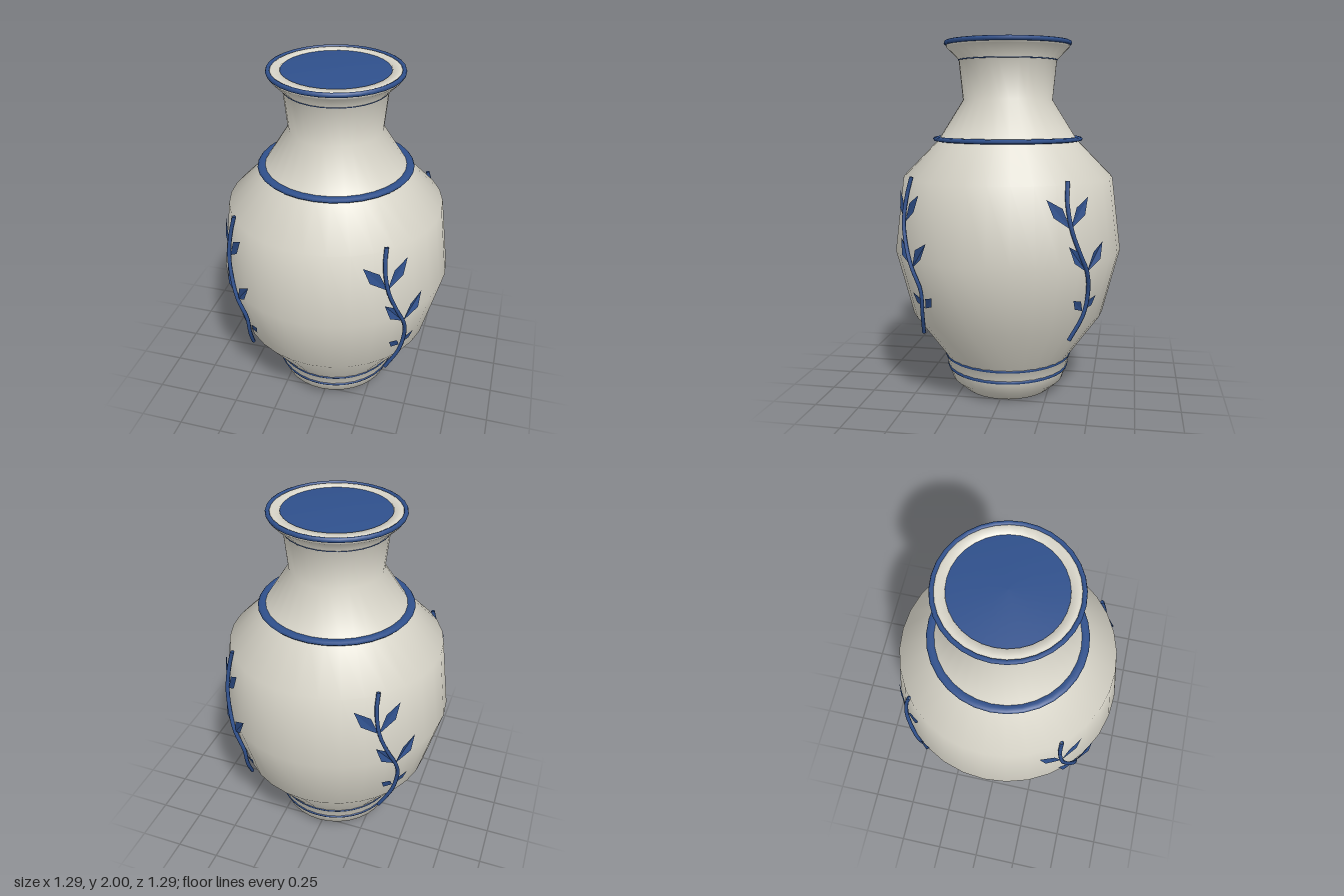
import * as THREE from 'three';

const SIDES = 32;

// Outer wall: radius, height
const WALL = [
  [0, 0], [0.255, 0.003], [0.325, 0.065], [0.348, 0.13], [0.37, 0.22], [0.55, 0.47],
  [0.645, 0.84], [0.593, 1.25], [0.392, 1.455], [0.253, 1.675], [0.275, 1.895], [0.345, 1.965],
];

function wallRadius(y) {
  for (let i = 2; i < WALL.length; i++) {
    const [r0, y0] = WALL[i - 1], [r1, y1] = WALL[i];
    if (y <= y1) return r0 + (r1 - r0) * (y - y0) / (y1 - y0);
  }
  return 0.345;
}

function lathe(points, material, name) {
  const profile = points.map(([r, y]) => new THREE.Vector2(r, y));
  const mesh = new THREE.Mesh(new THREE.LatheGeometry(profile, SIDES), material);
  mesh.name = name;
  return mesh;
}

// Ring of oval section lying flat around the vase
function ring(radius, y, halfWidth, halfHeight, segments, material, name) {
  const geometry = new THREE.TorusGeometry(radius, halfWidth, 8, segments);
  geometry.rotateX(Math.PI / 2);
  geometry.scale(1, halfHeight / halfWidth, 1);
  geometry.rotateY(Math.PI / 2);
  geometry.translate(0, y, 0);
  const mesh = new THREE.Mesh(geometry, material);
  mesh.name = name;
  return mesh;
}

// Point just above the wall, u sideways from the vine's centre line
function onWall(u, y, lift) {
  const r = wallRadius(y);
  return new THREE.Vector3(u, y, Math.sqrt(r * r - u * u) + lift);
}

// Pointed leaf folded along its midrib
function leafGeometry(u, y, du, dy, halfWidth) {
  const length = Math.hypot(du, dy);
  const nu = -dy / length * halfWidth, ny = du / length * halfWidth;
  const corners = [
    onWall(u, y, 0.012),
    onWall(u + du * 0.55 - nu, y + dy * 0.55 - ny, 0.017),
    onWall(u + du, y + dy, 0.017),
    onWall(u + du * 0.55 + nu, y + dy * 0.55 + ny, 0.017),
  ];
  const order = [0, 1, 2, 0, 2, 3];
  const geometry = new THREE.BufferGeometry().setFromPoints(order.map((i) => corners[i]));
  geometry.computeVertexNormals();
  return geometry;
}

function createVine(stemMaterial, leafMaterial) {
  const vine = new THREE.Group();
  vine.name = 'vine';

  // Stem: sideways, height, distance from the axis
  const path = [
    [0, 0.42, 0.56], [0.06, 0.555, 0.6], [0.078, 0.68, 0.617], [0.042, 0.8, 0.648],
    [-0.008, 0.9, 0.65], [-0.057, 1.03, 0.638], [-0.066, 1.17, 0.612], [-0.048, 1.27, 0.592],
  ].map(([u, y, d]) => new THREE.Vector3(u, y, d));
  const curve = new THREE.CatmullRomCurve3(path);
  const stem = new THREE.Mesh(new THREE.TubeGeometry(curve, 24, 0.011, 6), stemMaterial);
  stem.name = 'stem';
  vine.add(stem);

  // Leaf pairs: node sideways, node height, reach, rise, half width
  const pairs = [
    [-0.057, 1.03, 0.125, 0.155, 0.034],
    [0.042, 0.8, 0.12, 0.145, 0.034],
    [0.068, 0.575, 0.085, 0.075, 0.026],
  ];
  for (const [u, y, du, dy, w] of pairs) {
    for (const side of [-1, 1]) {
      const args = side < 0 ? [u, y, -du, dy, w] : [u, y, du, dy, w];
      const leaf = new THREE.Mesh(leafGeometry(...args), leafMaterial);
      leaf.name = side < 0 ? 'leafLeft' : 'leafRight';
      vine.add(leaf);
    }
  }
  return vine;
}

export function createModel() {
  const cream = new THREE.MeshStandardMaterial({ color: 0xd9d6ca });
  cream.name = 'cream glaze';
  cream.side = THREE.DoubleSide;
  const blue = new THREE.MeshStandardMaterial({ color: 0x2f508c });
  blue.name = 'cobalt blue';
  blue.side = THREE.DoubleSide;

  const vase = new THREE.Group();
  vase.name = 'vase';

  // Body with the flat lip turned inwards
  vase.add(lathe([...WALL, [0.345, 1.985], [0.325, 1.995], [0.285, 1.994], [0.275, 1.96]], cream, 'body'));

  // Blue top filling the mouth
  vase.add(lathe([[0.284, 1.965], [0.286, 1.988], [0, 1.992]], blue, 'mouth'));

  // Painted rings
  vase.add(ring(0.345, 1.987, 0.012, 0.013, SIDES, blue, 'rimRing'));
  vase.add(ring(0.275, 1.895, 0.004, 0.003, SIDES, blue, 'neckLine'));
  vase.add(ring(0.4, 1.46, 0.025, 0.013, SIDES, blue, 'shoulderRing'));
  vase.add(ring(0.359, 0.207, 0.011, 0.011, 48, blue, 'upperFootRing'));
  vase.add(ring(0.343, 0.138, 0.012, 0.012, 48, blue, 'lowerFootRing'));

  // Four vines between the front, sides and back
  for (let i = 0; i < 4; i++) {
    const vine = createVine(blue, blue);
    vine.rotation.y = Math.PI / 4 + i * Math.PI / 2;
    vase.add(vine);
  }
  return vase;
}
